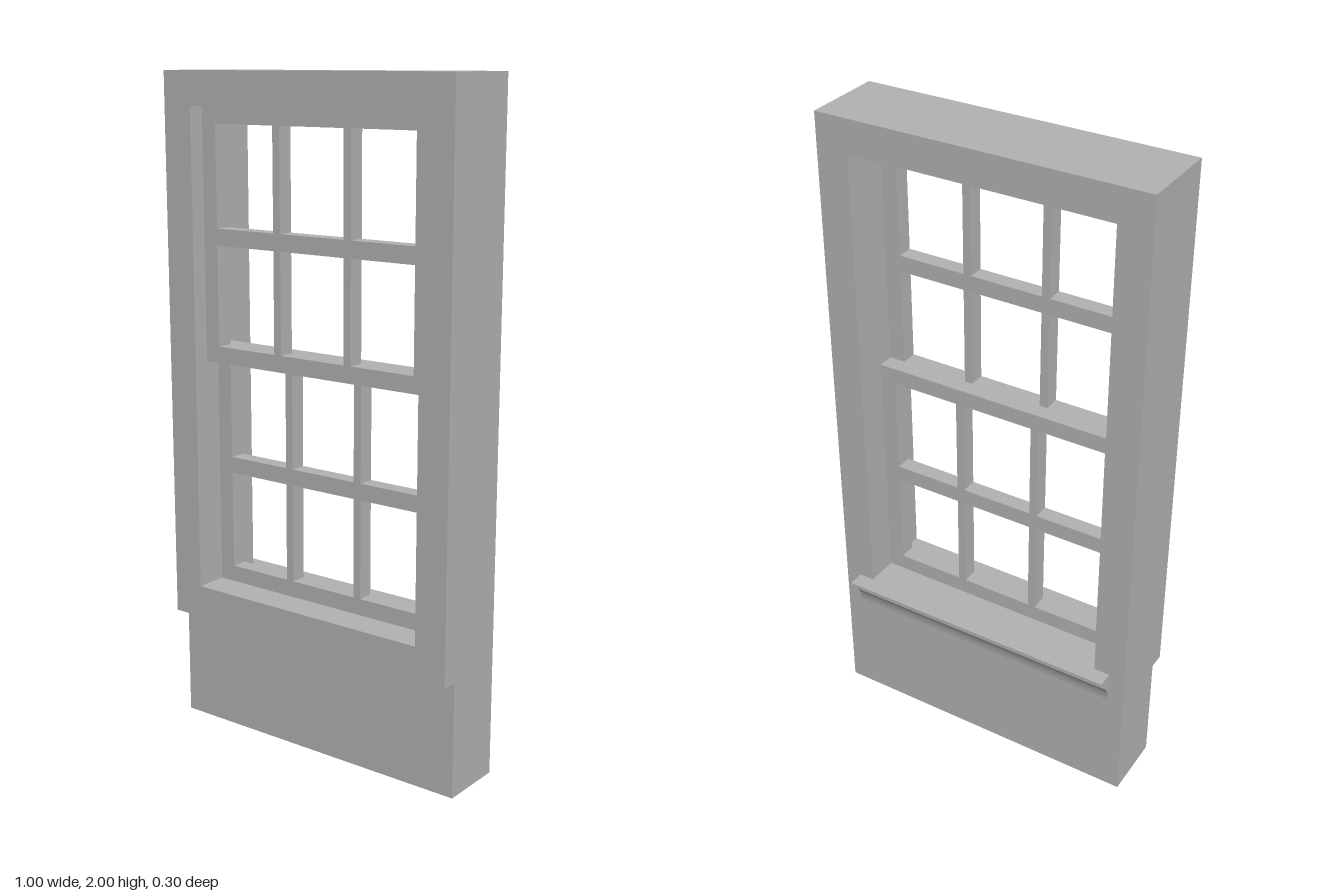
import * as THREE from 'three';

const paint = new THREE.MeshStandardMaterial({ color: 0xb2b2b2 });
paint.name = 'greyPaint';

// Adds the corners of a rectangle to a shape or path
function rect(path, x0, y0, x1, y1) {
  path.moveTo(x0, y0);
  path.lineTo(x1, y0);
  path.lineTo(x1, y1);
  path.lineTo(x0, y1);
  path.closePath();
  return path;
}

// Flat panel with rectangular openings, spanning z0 to z1
function panel(name, outer, openings, z0, z1) {
  const shape = rect(new THREE.Shape(), ...outer);
  for (const o of openings) shape.holes.push(rect(new THREE.Path(), ...o));
  const geo = new THREE.ExtrudeGeometry(shape, { depth: z1 - z0, bevelEnabled: false });
  geo.translate(0, 0, z0);
  const mesh = new THREE.Mesh(geo, paint);
  mesh.name = name;
  return mesh;
}

// Sash with three columns and two rows of panes
function sash(name, y, z) {
  const columns = [[-0.35, -0.1375], [-0.1125, 0.1125], [0.1375, 0.35]];
  const rows = [[0.05, 0.35], [0.4, 0.7]];
  const panes = [];
  for (const [x0, x1] of columns)
    for (const [y0, y1] of rows) panes.push([x0, y + y0, x1, y + y1]);
  return panel(name, [-0.4, y, 0.4, y + 0.75], panes, z, z + 0.05);
}

export function createModel() {
  const model = new THREE.Group();
  model.name = 'sashWindow';

  // Outer frame and the thinner wall beneath it
  model.add(panel('windowFrame', [-0.5, 0.35, 0.5, 2], [[-0.4, 0.45, 0.4, 1.9]], -0.1, 0.15));
  const apron = new THREE.Mesh(new THREE.BoxGeometry(1, 0.35, 0.2), paint);
  apron.position.y = 0.175;
  apron.name = 'lowerPanel';
  model.add(apron);

  // Upper sash sits in front of the lower one
  model.add(sash('upperSash', 1.15, 0.05));
  model.add(sash('lowerSash', 0.45, 0));

  // Moulded sill on the back; shape x is the distance behind the wall
  const profile = new THREE.Shape();
  profile.moveTo(0, 0.35);
  profile.bezierCurveTo(0.005, 0.4, 0.025, 0.41, 0.05, 0.437);
  profile.lineTo(0.05, 0.45);
  profile.lineTo(0, 0.45);
  profile.closePath();
  const sillGeo = new THREE.ExtrudeGeometry(profile, { depth: 0.9, bevelEnabled: false, curveSegments: 12 });
  sillGeo.translate(0, 0, -0.45);
  sillGeo.rotateY(Math.PI / 2);
  const sill = new THREE.Mesh(sillGeo, paint);
  sill.position.z = -0.1;
  sill.name = 'sill';
  model.add(sill);

  return model;
}
